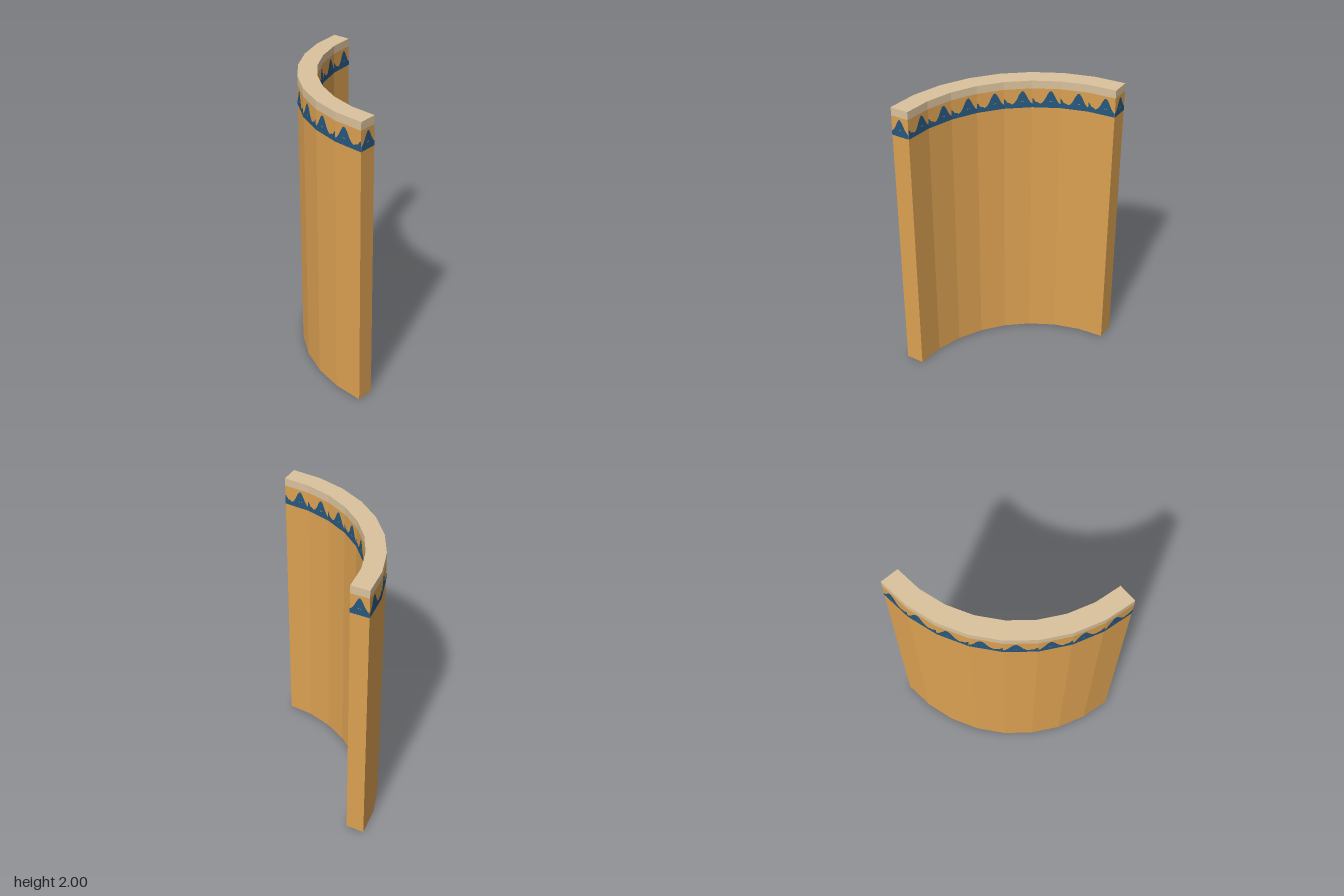
import * as THREE from 'three';

const SEGMENTS = 8, OUTER = 1.065, INNER = 0.938, CORNER = 0.5325;
const HEIGHT = 2, CAP_Y = 1.945;
const BAND_Y = 1.81, VALLEY = 1.838, PEAK = 1.93;

// Point on the quarter circle: step 0 is the +x end, step 8 the -z end
function arcPoint(radius, step) {
  const a = (step / SEGMENTS) * Math.PI / 2;
  return new THREE.Vector2(CORNER - radius * Math.sin(a), -CORNER + radius * Math.cos(a));
}

// Extruded quarter ring between two heights
function ringGeometry(y0, y1) {
  const points = [];
  for (let i = 0; i <= SEGMENTS; i++) points.push(arcPoint(OUTER, i));
  for (let i = SEGMENTS; i >= 0; i--) points.push(arcPoint(INNER, i));
  const shape = new THREE.Shape(points.map(p => new THREE.Vector2(p.x, -p.y)));
  const geometry = new THREE.ExtrudeGeometry(shape, { depth: y1 - y0, bevelEnabled: false });
  geometry.rotateX(-Math.PI / 2);
  geometry.translate(0, y0, 0);
  return geometry;
}

// Painted wave outline: [fraction of the width, height]
const tileWave = [
  [0, 1.88], [0.06, 1.868], [0.12, 1.85], [0.2, 1.848], [0.27, VALLEY], [0.35, 1.845], [0.44, 1.868],
  [0.53, 1.905], [0.6, 1.925], [0.66, PEAK], [0.71, 1.922], [0.78, 1.9],
  [0.86, 1.868], [0.94, 1.845], [1, VALLEY],
];
const endWave = [
  [0, 1.84], [0.1, 1.85], [0.22, 1.872], [0.34, 1.905], [0.44, 1.925], [0.5, PEAK],
  [0.56, 1.925], [0.66, 1.905], [0.78, 1.872], [0.9, 1.85], [1, 1.84],
];

// Flat painted panel from a to b (left to right seen from its front)
function paintedPanel(a, b, wave, eye, mirrored, material) {
  const width = a.distanceTo(b);
  const at = s => (mirrored ? 1 - s : s) * width;
  const shape = new THREE.Shape();
  shape.moveTo(at(0), BAND_Y);
  wave.forEach(([s, y]) => shape.lineTo(at(s), y));
  shape.lineTo(at(1), BAND_Y);
  shape.closePath();

  // Two small bare spots under each peak
  for (const dx of [-0.006, 0.006]) {
    const hole = new THREE.Path();
    const x = at(eye) + dx, y = 1.855, r = 0.004;
    hole.moveTo(x - r, y);
    hole.lineTo(x, y - r);
    hole.lineTo(x + r, y);
    hole.lineTo(x, y + r);
    hole.closePath();
    shape.holes.push(hole);
  }

  const mesh = new THREE.Mesh(new THREE.ShapeGeometry(shape), material);
  const dir = b.clone().sub(a).normalize();
  mesh.rotation.y = Math.atan2(-dir.y, dir.x);
  mesh.position.set(a.x - dir.y * 0.002, 0, a.y + dir.x * 0.002);
  return mesh;
}

export function createModel() {
  const clay = new THREE.MeshStandardMaterial({ color: 0xdca152 });
  clay.name = 'ochre wall';
  const stone = new THREE.MeshStandardMaterial({ color: 0xdac29c });
  stone.name = 'pale stone';
  const blue = new THREE.MeshStandardMaterial({ color: 0x27587f });
  blue.name = 'blue paint';

  const model = new THREE.Group();
  model.name = 'curvedWall';

  // Wall body with a stone underside
  const wall = new THREE.Mesh(ringGeometry(0, CAP_Y), [stone, clay]);
  wall.name = 'wall';
  const cap = new THREE.Mesh(ringGeometry(CAP_Y, HEIGHT), stone);
  cap.name = 'capStrip';
  model.add(wall, cap);

  // Blue wave band around every side
  const band = new THREE.Group();
  band.name = 'waveBand';
  const add = (name, ...args) => {
    const panel = paintedPanel(...args, blue);
    panel.name = name;
    band.add(panel);
  };
  for (let i = 0; i < SEGMENTS; i++) {
    add('outerWave', arcPoint(OUTER, i + 1), arcPoint(OUTER, i), tileWave, 0.66, true);
    add('innerWave', arcPoint(INNER, i), arcPoint(INNER, i + 1), tileWave, 0.66, false);
  }
  add('leftEndWave', arcPoint(OUTER, 0), arcPoint(INNER, 0), endWave, 0.5, false);
  add('rightEndWave', arcPoint(INNER, SEGMENTS), arcPoint(OUTER, SEGMENTS), endWave, 0.5, false);
  model.add(band);

  return model;
}
